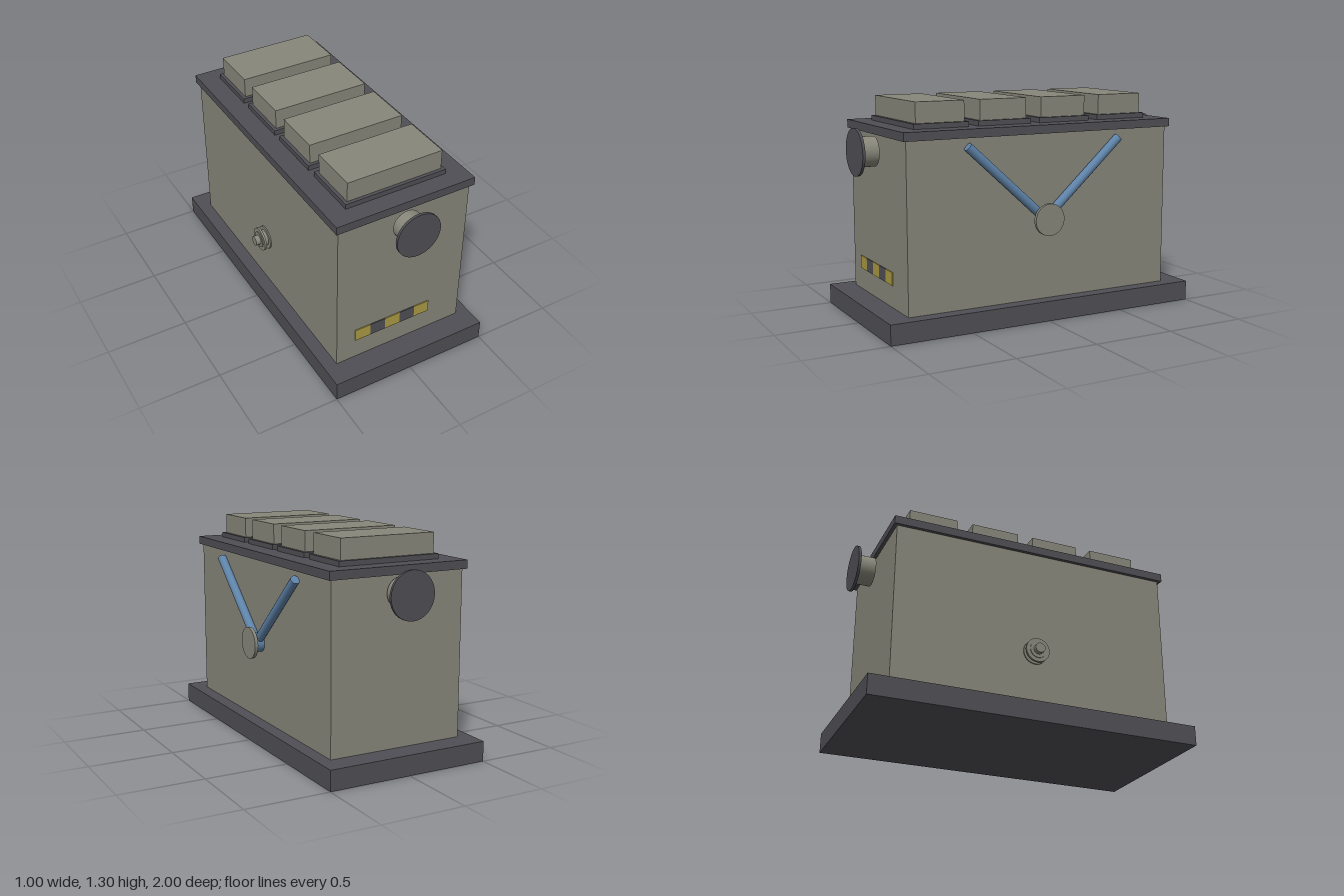
import * as THREE from 'three';

const mat = (name, color) => Object.assign(new THREE.MeshStandardMaterial({ color }), { name });

export function createModel() {
  const root = new THREE.Group();
  root.name = 'machineCabinet';

  const casing = mat('casing grey', 0x88877a);
  const dark = mat('dark trim', 0x504f55);
  const yellow = mat('warning yellow', 0xab9a44);
  const blue = mat('pipe blue', 0x5f83a9);

  const add = (name, geometry, material, x = 0, y = 0, z = 0) => {
    const mesh = new THREE.Mesh(geometry, material);
    mesh.name = name;
    mesh.position.set(x, y, z);
    root.add(mesh);
    return mesh;
  };

  // Box standing on y0 and reaching y1
  const box = (name, material, w, y0, y1, d, x = 0, z = 0) =>
    add(name, new THREE.BoxGeometry(w, y1 - y0, d), material, x, (y0 + y1) / 2, z);

  // Cylinder running between two points
  const rod = (name, material, radius, from, to, sides = 32) => {
    const a = new THREE.Vector3(...from);
    const b = new THREE.Vector3(...to);
    const dir = b.clone().sub(a);
    const mesh = add(name, new THREE.CylinderGeometry(radius, radius, dir.length(), sides), material);
    mesh.position.copy(a).add(b).multiplyScalar(0.5);
    mesh.quaternion.setFromUnitVectors(new THREE.Vector3(0, 1, 0), dir.normalize());
    return mesh;
  };

  // Plinth, cabinet and lid
  box('plinth', dark, 1, 0, 0.12, 2);
  box('cabinet', casing, 0.84, 0.12, 1.1, 1.72);
  box('lid', dark, 0.88, 1.1, 1.15, 1.76);

  // Four covers on seats along the lid
  for (const z of [-0.6, -0.2, 0.2, 0.6]) {
    box('coverSeat', dark, 0.64, 1.15, 1.18, 0.34, 0, z);
    box('cover', casing, 0.6, 1.18, 1.3, 0.3, 0, z);
  }

  // Flanged ports at both ends
  for (const s of [1, -1]) {
    rod('portNeck', casing, 0.088, [0, 1.003, s * 0.88], [0, 1.003, s * 0.985]);
    rod('portFlange', dark, 0.139, [0, 1.003, s * 0.984], [0, 1.003, s]);
  }

  // Hub with a cap and two branching pipes on the left side
  rod('pipeHub', blue, 0.058, [0.42, 0.603, 0], [0.48, 0.603, 0]);
  rod('hubCap', casing, 0.095, [0.48, 0.605, 0], [0.5, 0.605, 0]);
  for (const s of [1, -1]) {
    rod('branchPipe', blue, 0.027, [0.443, 0.63, s * 0.03], [0.443, 1.053, s * 0.5], 16);
  }

  // Drain valve on the right side
  rod('valveBackPlate', casing, 0.073, [-0.418, 0.45, 0], [-0.428, 0.45, 0]);
  rod('valveBody', casing, 0.05, [-0.42, 0.45, 0], [-0.47, 0.45, 0]);
  rod('valveFlange', casing, 0.073, [-0.452, 0.45, 0], [-0.465, 0.45, 0]);
  rod('valveStem', casing, 0.03, [-0.46, 0.45, 0], [-0.5, 0.45, 0]);

  // Warning strip on the front
  for (let i = 0; i < 5; i++) {
    box('warningStripe', i % 2 ? dark : yellow, 0.1, 0.252, 0.33, 0.008, -0.25 + i * 0.1, 0.862);
  }

  return root;
}
